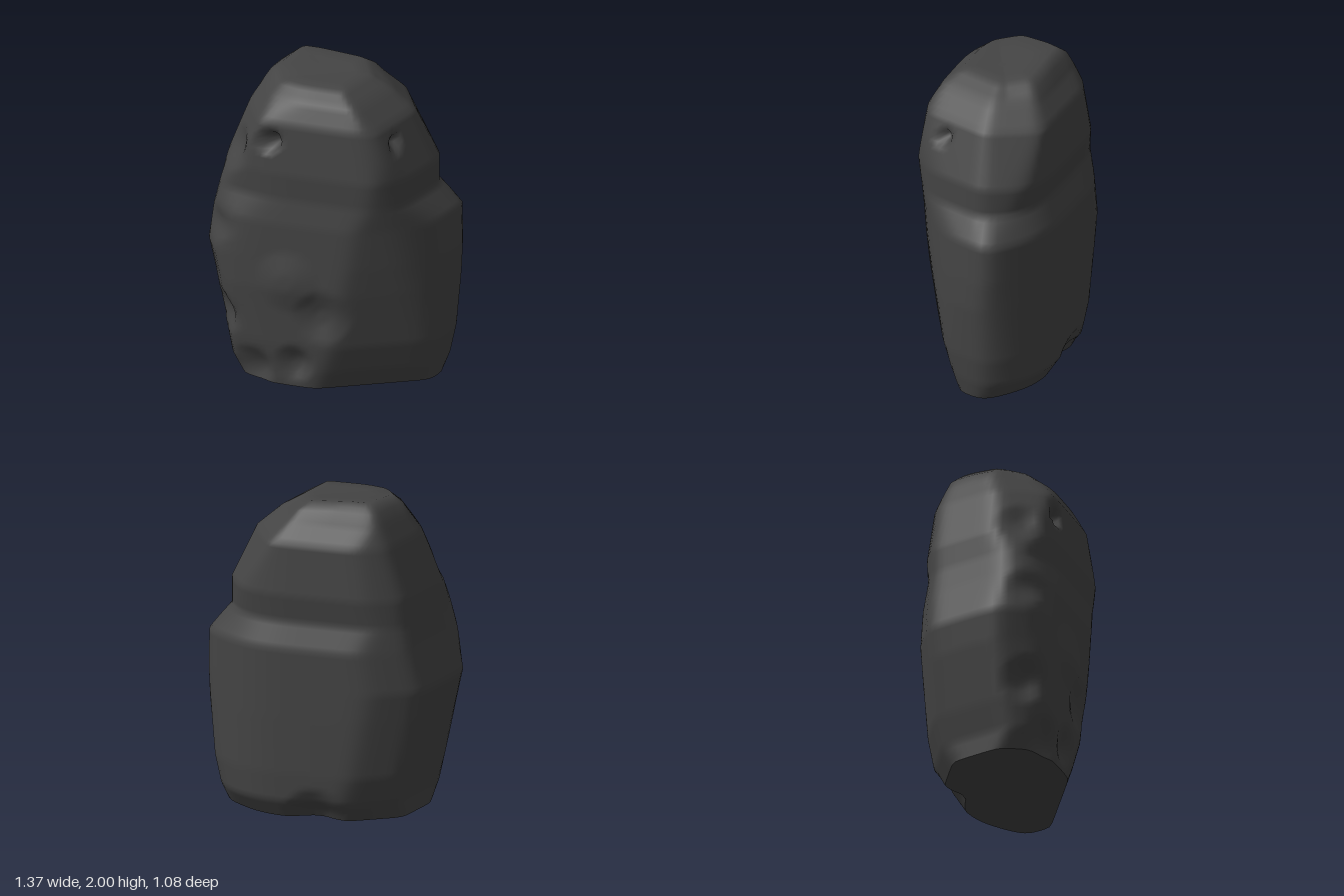
import * as THREE from 'three';

const { lerp, clamp, degToRad } = THREE.MathUtils;

// Directions, in degrees from +x towards +z, of the faces that bound each section
const FACES = [0, 180, 90, 270, 315, 135, 45, 225, 74, 255, 289, 25].map(degToRad);

// Height, then the distance from the axis of the first nine faces
const LEVELS = [
  [0, 0.59, 0.52, 0.43, 0.45, 0.64, 0.56, 0.31, 0.42, 0.36],
  [0.12, 0.62, 0.53, 0.46, 0.53, 0.69, 0.62, 0.35, 0.48, 0.38],
  [0.3, 0.65, 0.58, 0.5, 0.545, 0.73, 0.65, 0.4, 0.53, 0.4],
  [0.66, 0.68, 0.66, 0.55, 0.55, 0.76, 0.71, 0.45, 0.57, 0.42],
  [0.85, 0.68, 0.69, 0.55, 0.55, 0.78, 0.75, 0.47, 0.59, 0.42],
  [1.1, 0.67, 0.63, 0.53, 0.55, 0.78, 0.73, 0.49, 0.57, 0.42],
  [1.26, 0.57, 0.6, 0.47, 0.48, 0.62, 0.69, 0.51, 0.55, 0.4],
  [1.43, 0.57, 0.59, 0.48, 0.51, 0.62, 0.63, 0.54, 0.55, 0.41],
  [1.75, 0.44, 0.49, 0.47, 0.48, 0.47, 0.5, 0.47, 0.5, 0.38],
  [1.88, 0.3, 0.43, 0.34, 0.37, 0.33, 0.41, 0.41, 0.45, 0.31],
  [1.96, 0.17, 0.33, 0.24, 0.26, 0.2, 0.32, 0.26, 0.38, 0.21],
];

// Dents (positive) and lumps (negative): x, y, z, reach, depth
const CHIPS = [
  [-0.18, 1.63, 0.45, 0.08, 0.1], [0.48, 1.64, 0.06, 0.06, 0.06],
  [-0.05, 0.72, 0.45, 0.2, -0.03], [0.16, 0.5, 0.39, 0.18, 0.04],
  [-0.03, 0.16, 0.4, 0.13, 0.05], [-0.3, 0.1, 0.43, 0.15, 0.06],
  [-0.5, 0.42, 0.47, 0.15, 0.05], [-0.5, 1.02, 0.47, 0.13, 0.04],
  [-0.45, 1.5, 0.4, 0.15, 0.04], [-0.1, 0.02, -0.4, 0.2, 0.07],
];

const COLUMNS = 96;

// Radius of a section along one angle: the nearest face, with softened corners
function radius(level, angle) {
  const reach = [...level.slice(1), 0.88 * level[4], 1.155 * level[4], 0.56];
  const sum = reach.reduce((s, r, k) => s + Math.max(0, Math.cos(angle - FACES[k]) / r) ** 30, 0);
  return sum ** (-1 / 30);
}

// Push a surface point towards or away from the upright axis
function chip(p) {
  let push = 0;
  for (const [x, y, z, reach, depth] of CHIPS) {
    const d = Math.hypot(p.x - x, p.y - y, p.z - z) / reach;
    push += depth * clamp(1.35 * (1 - d), 0, 1);
  }
  const scale = 1 - push / Math.hypot(p.x, p.z);
  p.x *= scale;
  p.z *= scale;
}

// Fill in sections between the given heights
function allLevels() {
  const out = [];
  for (let i = 0; i < LEVELS.length - 1; i++) {
    const a = LEVELS[i], b = LEVELS[i + 1], n = Math.round((b[0] - a[0]) / 0.03);
    for (let k = 0; k < n; k++) out.push(a.map((v, c) => lerp(v, b[c], k / n)));
  }
  return [...out, LEVELS[LEVELS.length - 1]];
}

function boulderGeometry() {
  const levels = allLevels(), top = levels[levels.length - 1];
  const n = COLUMNS, pos = [], index = [];

  const addRing = (level, shrink) => {
    for (let i = 0; i < n; i++) {
      const angle = 2 * Math.PI * i / n, r = radius(level, angle) * shrink;
      const p = new THREE.Vector3(r * Math.cos(angle), level[0], r * Math.sin(angle));
      if (shrink === 1) chip(p);
      // the crown rises towards the back
      const rise = level[0] > 1.9 ? 0.04 * clamp((-p.z - p.x) / 0.4, 0, 1) : 0;
      pos.push(p.x, p.y + rise, p.z);
    }
  };
  levels.forEach((level) => addRing(level, 1));
  addRing(top, 0.6);
  addRing(top, 0.2);

  // Side walls and crown
  const rings = levels.length + 2;
  for (let j = 0; j < rings - 1; j++) {
    for (let i = 0; i < n; i++) {
      const a = j * n + i, b = j * n + (i + 1) % n;
      index.push(a, a + n, b, b, a + n, b + n);
    }
  }
  const crown = pos.length / 3;
  pos.push(0, top[0], 0);
  for (let i = 0; i < n; i++) index.push((rings - 1) * n + (i + 1) % n, (rings - 1) * n + i, crown);

  // Flat underside with its own crisp edge
  const base = pos.length / 3;
  pos.push(...pos.slice(0, n * 3), 0, 0, 0);
  for (let i = 0; i < n; i++) index.push(base + i, base + (i + 1) % n, base + n);

  const geometry = new THREE.BufferGeometry();
  geometry.setAttribute('position', new THREE.Float32BufferAttribute(pos, 3));
  geometry.setIndex(index);
  geometry.computeVertexNormals();
  return geometry;
}

export function createModel() {
  const stone = new THREE.MeshStandardMaterial({ color: 0x444444 });
  stone.name = 'darkStone';
  const boulder = new THREE.Mesh(boulderGeometry(), stone);
  boulder.name = 'boulder';
  const group = new THREE.Group();
  group.name = 'rock';
  group.add(boulder);
  return group;
}
